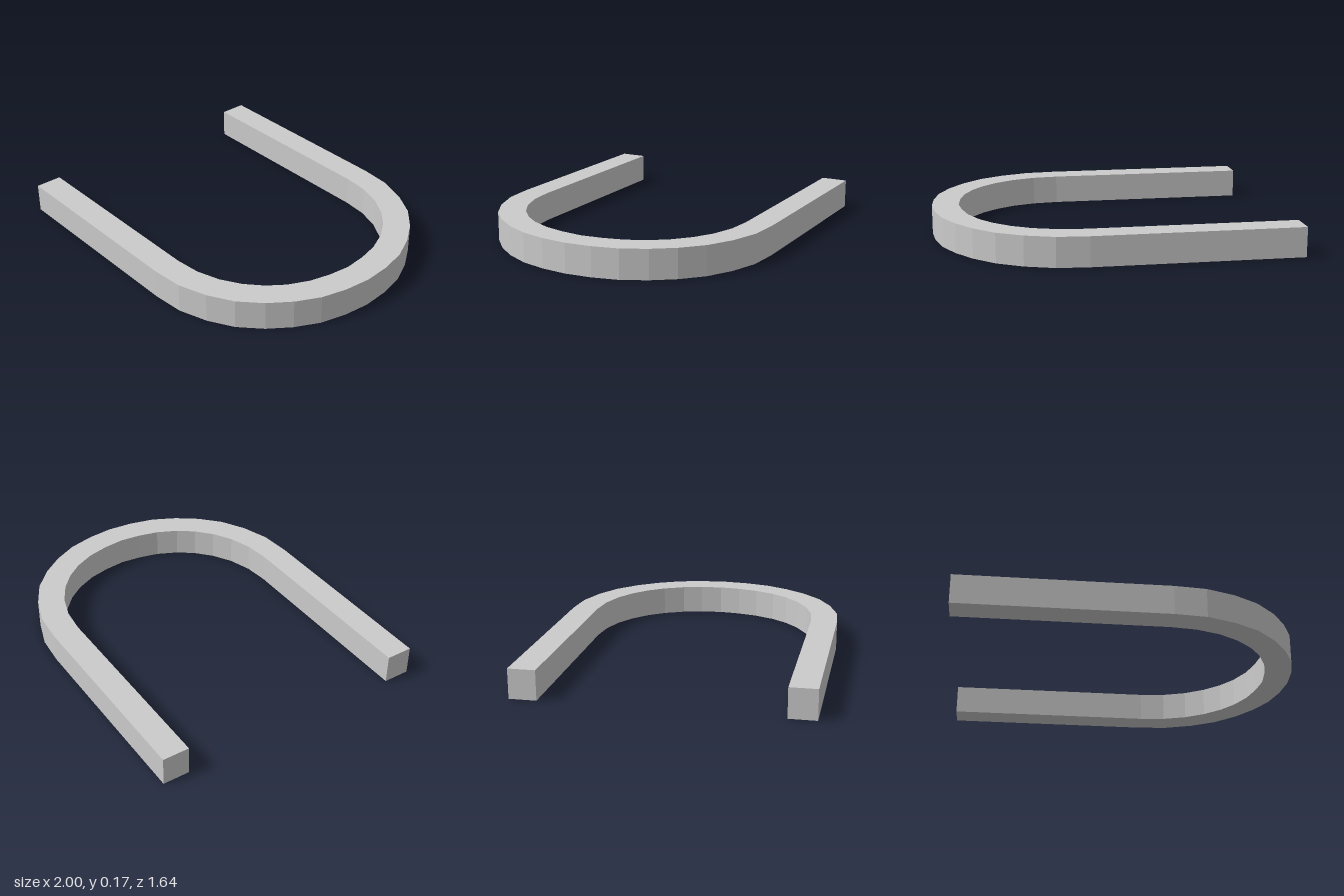
import * as THREE from 'three';

const HEIGHT = 0.17;

// Half outline of the bend, from the arm to the tip: [x, z]
const OUTER = [[0.19, 0.82], [0.37, 0.805], [0.535, 0.75], [0.677, 0.67], [0.793, 0.56],
  [0.882, 0.437], [0.95, 0.30], [0.986, 0.152], [1, 0]];
const INNER = [[0.19, 0.665], [0.337, 0.65], [0.473, 0.606], [0.585, 0.54], [0.677, 0.457],
  [0.747, 0.363], [0.802, 0.245], [0.831, 0.125], [0.845, 0]];

// Full edge of the U: open end, arm, bend, then the mirrored half
function edge(half) {
  const side = [[-1, half[0][1]], ...half];
  const mirrored = side.slice(0, -1).reverse().map(([x, z]) => [x, -z]);
  return [...side, ...mirrored].map(([x, z]) => new THREE.Vector2(x, z));
}

export function createModel() {
  const group = new THREE.Group();
  group.name = 'uShapedBar';

  // Square-section bar: outer edge out, inner edge back
  const shape = new THREE.Shape([...edge(OUTER), ...edge(INNER).reverse()]);
  const geometry = new THREE.ExtrudeGeometry(shape, { depth: HEIGHT, bevelEnabled: false });
  geometry.rotateX(-Math.PI / 2);

  const bar = new THREE.Mesh(geometry,
    new THREE.MeshStandardMaterial({ color: 0xcccccc, flatShading: true }));
  bar.name = 'bar';
  group.add(bar);
  return group;
}
